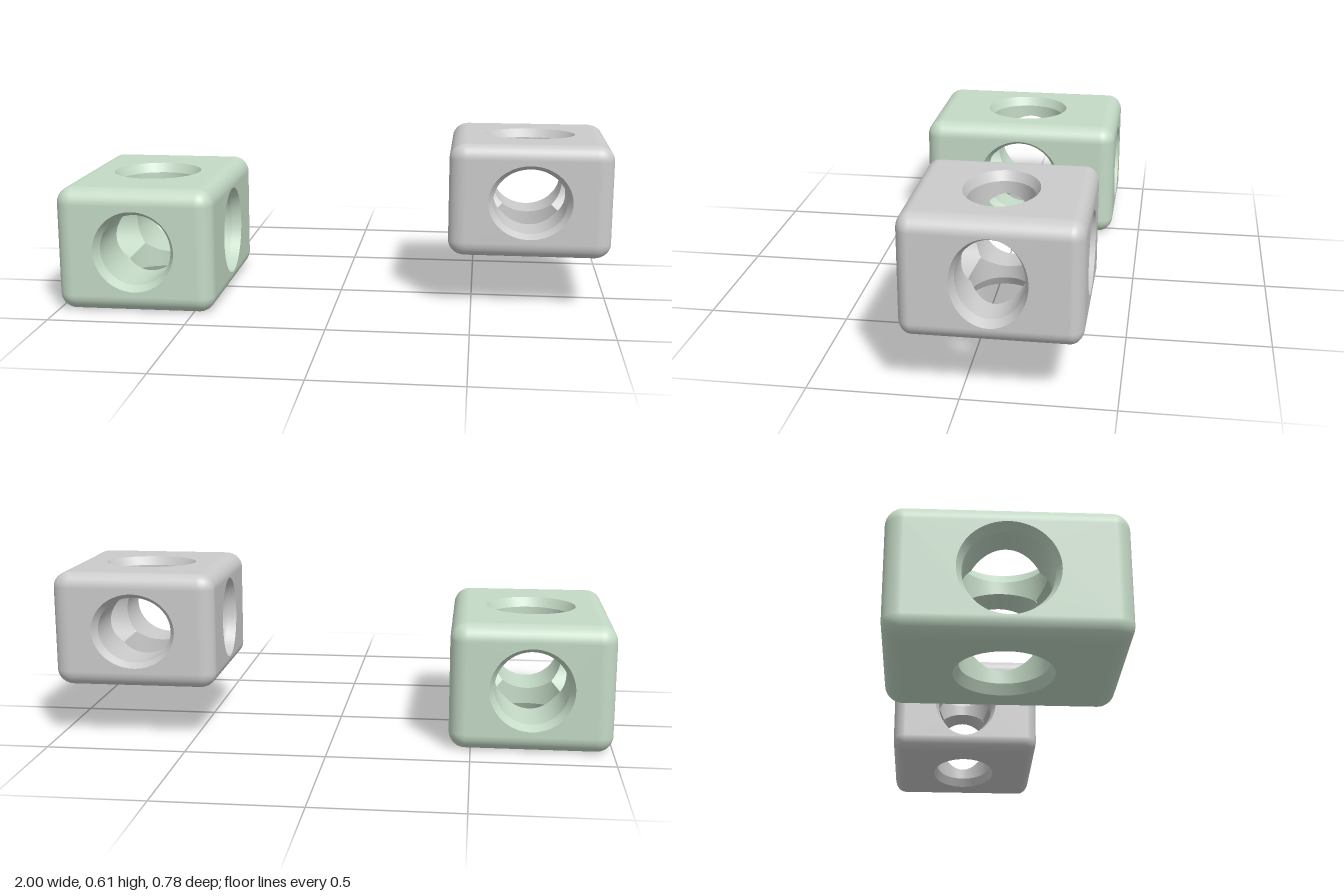
import * as THREE from 'three';
import { RoundedBoxGeometry } from 'three/addons/geometries/RoundedBoxGeometry.js';

const SIZE = [0.578, 0.455, 0.777]; // block size along x, y, z
const FILLET = 0.06;
const BORE = [0.146, 0.147, 0.131]; // radius of the through hole along each axis
const RIM = 0.018; // how much wider the countersink is at the surface
const RIM_DEPTH = 0.035;
const N = 64;

// Rounded edges and corners only: the flat faces are left out
function edgeShell() {
  const src = new RoundedBoxGeometry(...SIZE, 8, FILLET).toNonIndexed();
  const p = src.attributes.position, n = src.attributes.normal;
  const pos = [], nor = [];
  const flat = (i) => Math.max(Math.abs(n.getX(i)), Math.abs(n.getY(i)), Math.abs(n.getZ(i))) > 0.9999;
  for (let i = 0; i < p.count; i += 3) {
    if (flat(i) && flat(i + 1) && flat(i + 2)) continue;
    for (let j = i; j < i + 3; j++) {
      pos.push(p.getX(j), p.getY(j), p.getZ(j));
      nor.push(n.getX(j), n.getY(j), n.getZ(j));
    }
  }
  const g = new THREE.BufferGeometry();
  g.setAttribute('position', new THREE.Float32BufferAttribute(pos, 3));
  g.setAttribute('normal', new THREE.Float32BufferAttribute(nor, 3));
  return g;
}

// Inward-facing band between an upper and a lower ring, each a function of angle
function band(upper, lower) {
  const pos = [], index = [];
  for (let i = 0; i < N; i++) {
    const a = (i / N) * Math.PI * 2;
    pos.push(...upper(a), ...lower(a));
    const A = 2 * i, B = 2 * ((i + 1) % N);
    index.push(A, B, A + 1, B, B + 1, A + 1);
  }
  const g = new THREE.BufferGeometry();
  g.setAttribute('position', new THREE.Float32BufferAttribute(pos, 3));
  g.setIndex(index);
  g.computeVertexNormals();
  return g;
}

const ring = (r, a, w) => [r * Math.cos(a), r * Math.sin(a), w];

// Flat face with its hole, countersink and bore, built facing +z
function faceParts(axis) {
  const u = (axis + 1) % 3, v = (axis + 2) % 3;
  const hu = SIZE[u] / 2 - FILLET, hv = SIZE[v] / 2 - FILLET, h = SIZE[axis] / 2;
  const r = BORE[axis];

  const shape = new THREE.Shape();
  shape.moveTo(-hu, -hv).lineTo(hu, -hv).lineTo(hu, hv).lineTo(-hu, hv).closePath();
  const hole = new THREE.Path();
  hole.absarc(0, 0, r + RIM, 0, Math.PI * 2, false);
  shape.holes.push(hole);

  // The bore wall stops where it breaks into the two crossing bores
  const wallEnd = (a) => Math.sqrt(Math.max(0,
    BORE[u] ** 2 - (r * Math.sin(a)) ** 2,
    BORE[v] ** 2 - (r * Math.cos(a)) ** 2));

  return {
    face: new THREE.ShapeGeometry(shape, N / 2).translate(0, 0, h),
    countersink: band((a) => ring(r + RIM, a, h), (a) => ring(r, a, h - RIM_DEPTH)),
    bore: band((a) => ring(r, a, h - RIM_DEPTH), (a) => ring(r, a, wallEnd(a))),
  };
}

function createBlock(name, color) {
  const block = new THREE.Group();
  block.name = name;
  const material = new THREE.MeshStandardMaterial({ color });
  const add = (geometry, part) => {
    const mesh = new THREE.Mesh(geometry, material);
    mesh.name = part;
    block.add(mesh);
  };
  add(edgeShell(), 'roundedEdges');

  const dir = [new THREE.Vector3(1, 0, 0), new THREE.Vector3(0, 1, 0), new THREE.Vector3(0, 0, 1)];
  const sides = [['right', 'left'], ['bottom', 'top'], ['back', 'front']];
  for (let axis = 0; axis < 3; axis++) {
    [-1, 1].forEach((s, k) => {
      const m = new THREE.Matrix4().makeBasis(
        dir[(axis + 1) % 3].clone().multiplyScalar(s),
        dir[(axis + 2) % 3],
        dir[axis].clone().multiplyScalar(s));
      for (const [part, g] of Object.entries(faceParts(axis))) {
        add(g.applyMatrix4(m), sides[axis][k] + part[0].toUpperCase() + part.slice(1));
      }
    });
  }
  return block;
}

export function createModel() {
  const model = new THREE.Group();
  model.name = 'drilledBlocks';

  // Large block, standing on the ground
  const large = createBlock('largeBlock', 0xc4dac6);
  large.position.set(-0.711, SIZE[1] / 2, 0);

  // Small block: same design squashed, raised and set back
  const small = createBlock('smallBlock', 0xcccccc);
  small.scale.set(1.017, 0.908, 0.758);
  small.position.set(0.706, 0.403, -0.094);

  model.add(large, small);
  return model;
}
